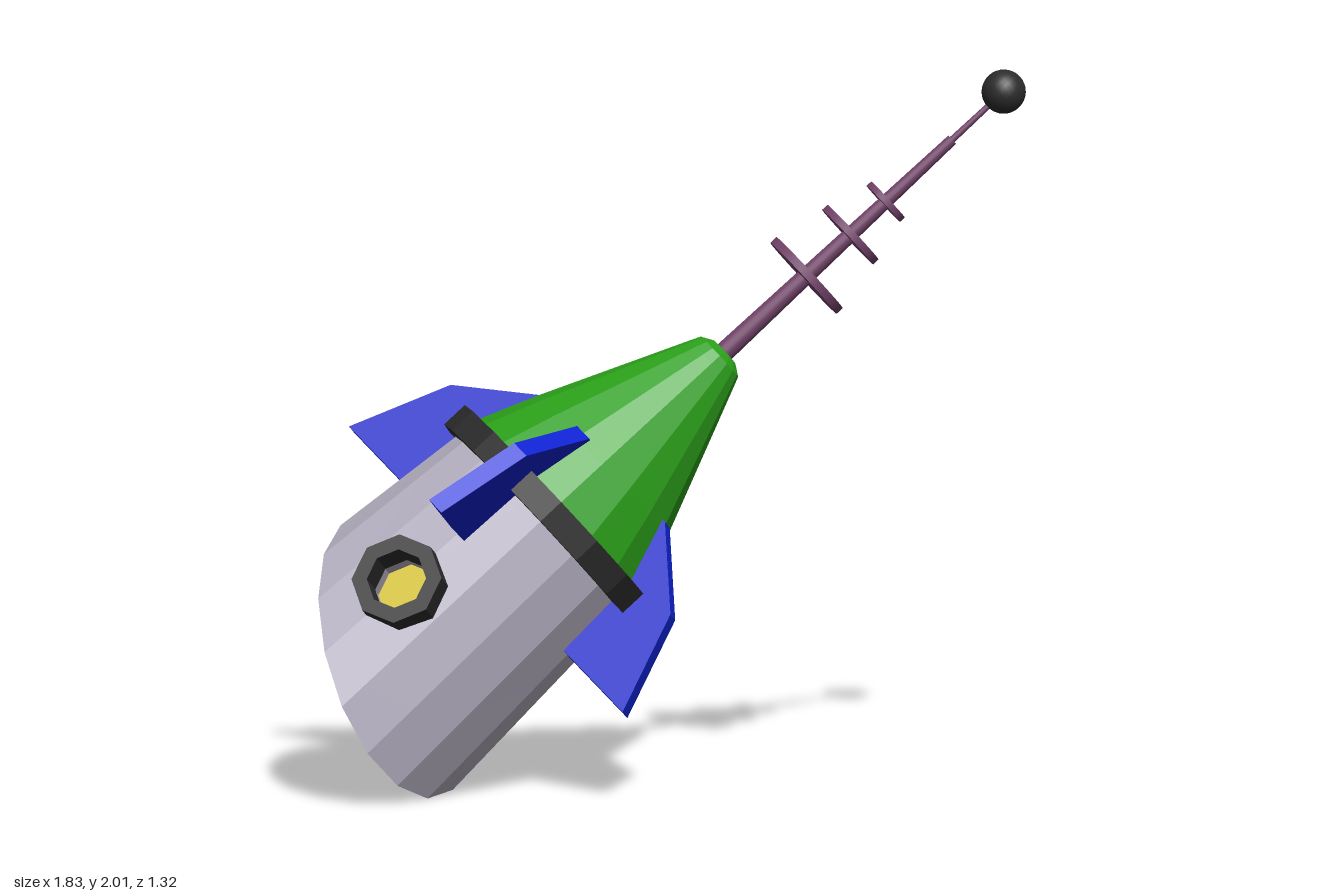
import * as THREE from 'three';

const SIDES = 16;
const WINDOW_Y = -0.45;

const paint = (color, options = {}) => new THREE.MeshStandardMaterial({ color, ...options });
const shell = paint(0xb8b3c4, { flatShading: true });
const recessMat = paint(0xb8b3c4, { flatShading: true, side: THREE.DoubleSide });
const green = paint(0x2ba01a, { flatShading: true });
const blue = paint(0x0d22d0, { flatShading: true });
const dark = paint(0x2c2c2c, { flatShading: true });
const black = paint(0x2c2c2c);
const mauve = paint(0x75456c);
const yellow = paint(0xd8c420, { flatShading: true });

function add(parent, name, geometry, material) {
  const mesh = new THREE.Mesh(geometry, material);
  mesh.name = name;
  parent.add(mesh);
  return mesh;
}

function lathe(points, segments) {
  return new THREE.LatheGeometry(points.map(([r, y]) => new THREE.Vector2(r, y)), segments);
}

// Square-section band of revolution about y
function band(inner, outer, y0, y1, segments) {
  return lathe([[inner, y0], [outer, y0], [outer, y1], [inner, y1], [inner, y0]], segments);
}

// Flared hull: a round top lofted to an obliquely cut base, with a porthole opening
function hullGeometry() {
  const top = [], base = [];
  for (let i = 0; i <= SIDES; i++) {
    const a = (i / SIDES) * Math.PI * 2;
    const s = Math.sin(a), c = Math.cos(a);
    top.push(new THREE.Vector3(0.34 * s, 0, 0.34 * c));
    const x = 0.383 * s, z = 0.383 * c;
    base.push(new THREE.Vector3(x, -0.59 - 0.558 * x - 0.394 * z, z));
  }
  const cols = 8, rows = 30, out = [];
  const tri = (...points) => points.forEach((p) => out.push(p.x, p.y, p.z));
  for (let i = 0; i < SIDES; i++) {
    const at = (u, v) => base[i].clone().lerp(base[i + 1], u / cols)
      .lerp(top[i].clone().lerp(top[i + 1], u / cols), v / rows);
    for (let u = 0; u < cols; u++) {
      for (let v = 0; v < rows; v++) {
        const mid = at(u + 0.5, v + 0.5);
        if (mid.z > 0 && Math.hypot(mid.x, mid.y - WINDOW_Y) < 0.105) continue;
        const a = at(u, v), b = at(u + 1, v), c = at(u + 1, v + 1), d = at(u, v + 1);
        tri(a, b, d);
        tri(c, d, b);
      }
    }
    // Base cap
    tri(new THREE.Vector3(0, -0.59, 0), base[i + 1], base[i]);
  }
  const geometry = new THREE.BufferGeometry();
  geometry.setAttribute('position', new THREE.Float32BufferAttribute(out, 3));
  geometry.computeVertexNormals();
  return geometry;
}

function finGeometry() {
  const profile = [[0.2, -0.235], [0.61, -0.235], [0.49, 0.055], [0.27, 0.225], [0.2, 0.225]];
  const shape = new THREE.Shape(profile.map(([x, y]) => new THREE.Vector2(x, y)));
  const geometry = new THREE.ExtrudeGeometry(shape, { depth: 0.055, bevelEnabled: false });
  return geometry.translate(0, 0, -0.0275);
}

export function createModel() {
  const model = new THREE.Group();
  model.name = 'rocket';
  const rocket = new THREE.Group();
  rocket.name = 'tiltedRocket';
  model.add(rocket);

  // Hull, nose cone and the collar between them
  add(rocket, 'hull', hullGeometry(), shell);
  add(rocket, 'noseCone', lathe(
    [[0, 0], [0.352, 0], [0.275, 0.2], [0.092, 0.63], [0.078, 0.662], [0.045, 0.682], [0, 0.686]], SIDES), green);
  add(rocket, 'collar', band(0.325, 0.392, -0.04, 0.04, SIDES), dark);

  // Four fins
  const fin = finGeometry();
  for (let i = 0; i < 4; i++) {
    add(rocket, 'fin', fin, blue).rotation.y = (i * Math.PI) / 2;
  }

  // Recessed porthole
  const porthole = new THREE.Group();
  porthole.name = 'porthole';
  porthole.position.y = WINDOW_Y;
  porthole.rotation.x = Math.PI / 2;
  rocket.add(porthole);
  add(porthole, 'portholeFrame', band(0.087, 0.132, 0.32, 0.418, 8), dark);
  add(porthole, 'portholeRecess', lathe([[0.09, 0.25], [0.09, 0.37]], 8), recessMat);
  add(porthole, 'portholeGlass', new THREE.CylinderGeometry(0.09, 0.09, 0.01, 8), yellow).position.y = 0.265;

  // Antenna: stepped rod, three discs and a ball
  const rod = (name, r0, r1, y0, y1) =>
    add(rocket, name, new THREE.CylinderGeometry(r1, r0, y1 - y0, 16), mauve).position.y = (y0 + y1) / 2;
  rod('antennaRod', 0.03, 0.016, 0.6, 1.565);
  rod('antennaTip', 0.01, 0.008, 1.55, 1.75);
  for (const [y, r, h] of [[1.0, 0.138, 0.034], [1.17, 0.106, 0.03], [1.307, 0.07, 0.026]]) {
    const e = h * 0.3;
    const disc = new THREE.CylinderGeometry(r, r, h - e, 28);
    add(rocket, 'antennaDisc', disc, mauve).position.y = y;
  }
  add(rocket, 'antennaBall', new THREE.SphereGeometry(0.063, 24, 16), black).position.y = 1.765;

  // Lean the whole rocket along its flight direction
  const up = new THREE.Vector3(0.655, 0.67, -0.349).normalize();
  const front = new THREE.Vector3(0.03, 0.43, 0.9);
  front.addScaledVector(up, -front.dot(up)).normalize();
  const side = new THREE.Vector3().crossVectors(up, front);
  rocket.quaternion.setFromRotationMatrix(new THREE.Matrix4().makeBasis(side, up, front));
  rocket.position.set(-0.3, 0.757, 0.006);
  return model;
}
